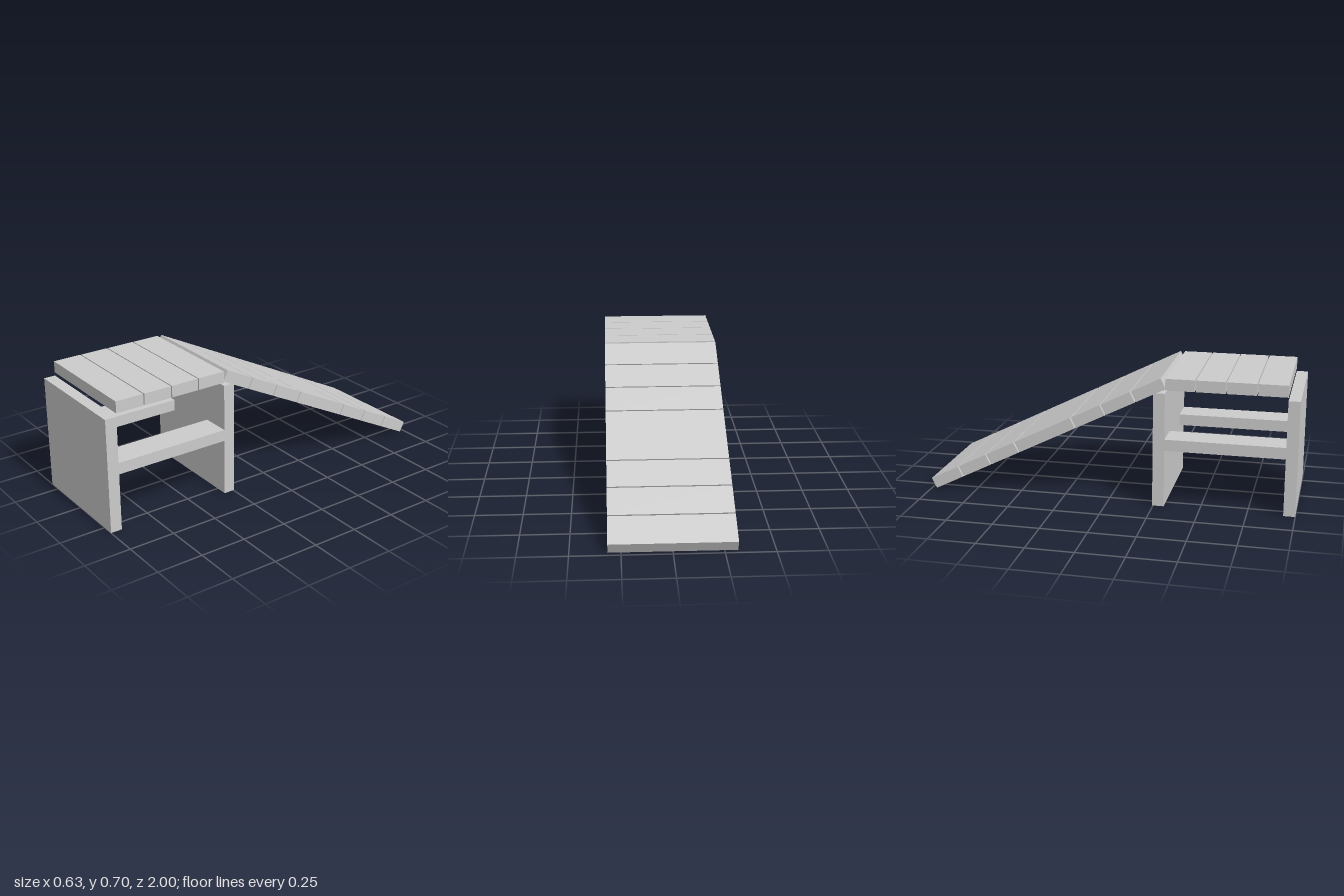
import * as THREE from 'three';

const WIDTH = 0.63;
const THICK = 0.062;

export function createModel() {
  const model = new THREE.Group();
  model.name = 'rampPlatform';
  const material = new THREE.MeshStandardMaterial({ color: 0xcccccc, flatShading: true });

  const addBox = (parent, name, size, position) => {
    const mesh = new THREE.Mesh(new THREE.BoxGeometry(...size), material);
    mesh.name = name;
    mesh.position.set(...position);
    parent.add(mesh);
  };

  // Upright end panels
  addBox(model, 'frontPanel', [WIDTH, 0.62, THICK], [0, 0.31, 0.969]);
  addBox(model, 'middlePanel', [WIDTH, 0.62, THICK], [0, 0.31, 0.276]);

  // Flat side rails joining the panels
  for (const [side, name] of [[1, 'leftRail'], [-1, 'rightRail']]) {
    addBox(model, name, [0.157, THICK, 0.631], [side * 0.2365, 0.341, 0.6225]);
  }

  // Deck of four level planks
  const deck = new THREE.Group();
  deck.name = 'deck';
  for (let i = 0; i < 4; i++) {
    addBox(deck, 'deckPlank', [WIDTH, THICK, 0.153], [0, 0.669, 0.3845 + i * 0.159]);
  }
  model.add(deck);

  // Sloping ramp: local -z runs down the slope, its top surface is local y = 0
  const ramp = new THREE.Group();
  ramp.name = 'ramp';
  const top = new THREE.Vector2(0.283, 0.7);
  const foot = new THREE.Vector2(-1, 0.056);
  const length = top.distanceTo(foot);
  const gap = 0.007;
  const plank = (length - 6 * gap) / 8;
  for (let i = 0; i < 8; i++) {
    // The two middle planks butt together
    const gaps = i < 4 ? i : i - 1;
    const along = plank * (i + 0.5) + gap * gaps;
    addBox(ramp, 'rampPlank', [WIDTH, THICK, plank], [0, -THICK / 2, -along]);
  }
  ramp.position.set(0, top.y, top.x);
  ramp.rotation.x = -Math.atan2(top.y - foot.y, top.x - foot.x);
  model.add(ramp);

  return model;
}
